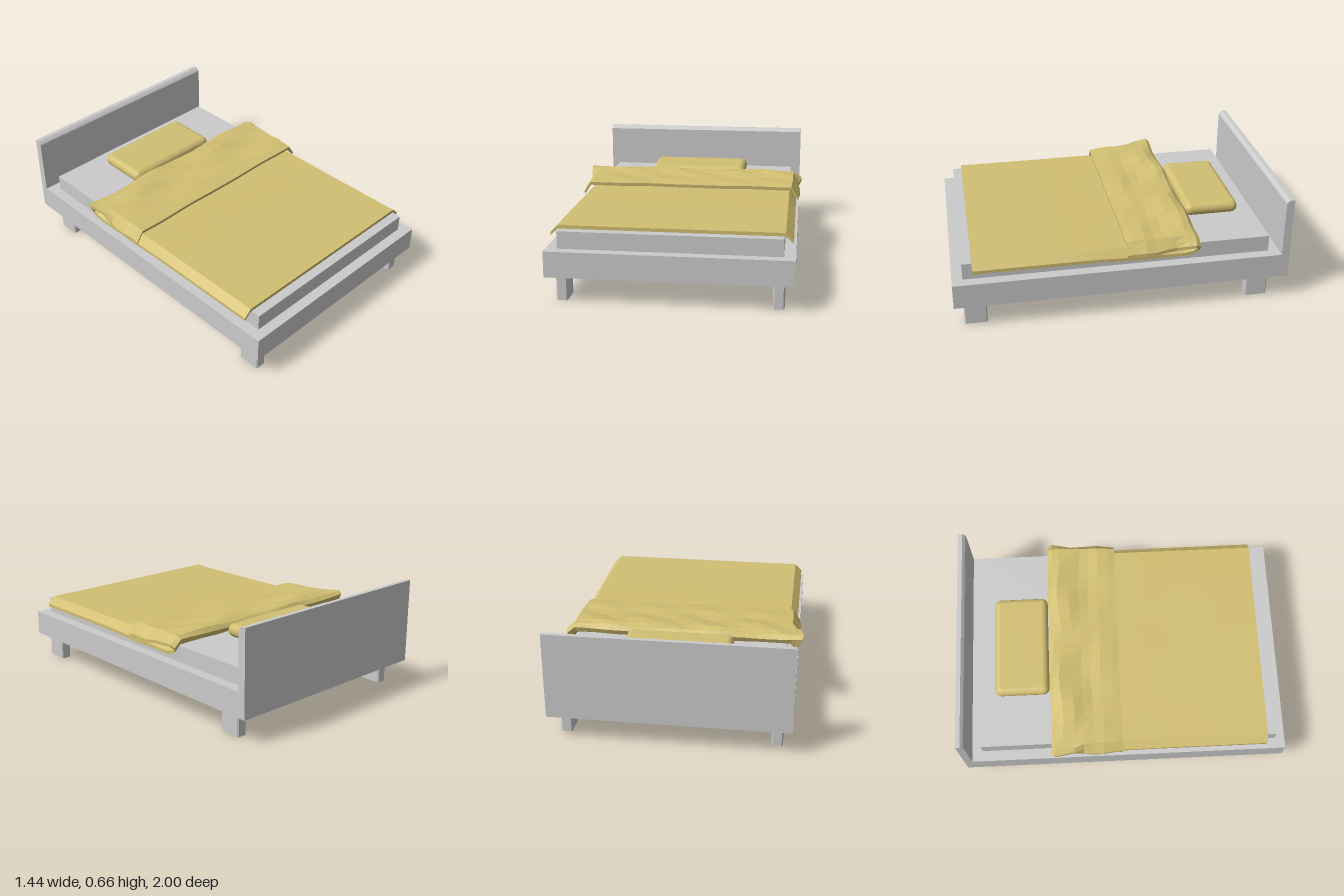
import * as THREE from 'three';
import { RoundedBoxGeometry } from 'three/addons/geometries/RoundedBoxGeometry.js';

const CX = -0.005;
const grey = new THREE.MeshStandardMaterial({ color: 0xcccccc, flatShading: true });
const cloth = new THREE.MeshStandardMaterial({ color: 0xd2bf72, flatShading: true });
const cushion = new THREE.MeshStandardMaterial({ color: 0xd2bf72 });

function add(group, name, geometry, material, x = 0, y = 0, z = 0) {
  const mesh = new THREE.Mesh(geometry, material);
  mesh.name = name;
  mesh.position.set(x, y, z);
  group.add(mesh);
  return mesh;
}

// Extrude an outline upward or sideways, centred on its depth
function extrude(points, depth) {
  const shape = new THREE.Shape(points.map(([x, y]) => new THREE.Vector2(x, y)));
  return new THREE.ExtrudeGeometry(shape, { depth, bevelEnabled: false }).translate(0, 0, -depth / 2);
}

// Folded blanket: a thick strip along z, curled back over itself, repeated across x
function blanketGeometry() {
  // z, y, half width, side drop, wrinkle height
  const path = [
    [0.88, 0.41, 0.68, 0.042, 0], [0.6, 0.41, 0.68, 0.042, 0], [0.3, 0.41, 0.68, 0.042, 0],
    [0.15, 0.411, 0.68, 0.045, 0.001], [0.0, 0.411, 0.68, 0.05, 0], [-0.12, 0.411, 0.68, 0.052, 0],
    [-0.25, 0.411, 0.68, 0.052, 0], [-0.35, 0.411, 0.685, 0.05, 0], [-0.4, 0.417, 0.69, 0.045, 0.001],
    [-0.43, 0.43, 0.695, 0.04, 0.003], [-0.438, 0.447, 0.7, 0.04, 0.005], [-0.42, 0.463, 0.705, 0.04, 0.008],
    [-0.38, 0.471, 0.705, 0.045, 0.011], [-0.31, 0.466, 0.7, 0.055, 0.011], [-0.25, 0.457, 0.7, 0.06, 0.008],
    [-0.19, 0.453, 0.7, 0.065, 0.006], [-0.13, 0.457, 0.7, 0.065, 0.006], [-0.06, 0.452, 0.695, 0.065, 0.004],
    [-0.015, 0.446, 0.695, 0.065, 0.002],
  ];
  const n = path.length, half = 0.01;
  const across = [-1, -0.97, -0.935];
  for (let i = -8; i <= 8; i++) across.push(i * 0.108);
  across.push(0.935, 0.97, 1);

  // Thickness direction at each path point
  const normals = path.map((p, i) => {
    const a = path[Math.max(i - 1, 0)], b = path[Math.min(i + 1, n - 1)];
    const dz = b[0] - a[0], dy = b[1] - a[1], l = Math.hypot(dz, dy);
    return [dy / l, -dz / l];
  });

  const positions = [], index = [];
  for (const f of across) {
    const k = Math.max(0, (Math.abs(f) - 0.935) / 0.065);
    for (let r = 0; r < 2 * n; r++) {
      const i = r < n ? r : 2 * n - 1 - r, side = r < n ? half : -half;
      const [z, y, w, drop, wrinkle] = path[i];
      const flip = f < 0 && i >= 10 && i <= 13 ? k : 0; // upturned corner
      const wave = Math.sin(f * 6.5 + i * 0.9) * 0.6 + Math.sin(f * 13 - i * 1.7) * 0.4;
      positions.push(
        CX + f * w + Math.sign(f) * k * wrinkle * Math.sin(i * 1.3) * 0.8 - flip * 0.015,
        y + side * normals[i][1] - k * drop + wrinkle * wave + flip * 0.045,
        z + side * normals[i][0] + wrinkle * Math.sin(f * 8 + 1) * 0.9
      );
    }
  }
  const ring = 2 * n, last = (across.length - 1) * ring;
  for (let j = 0; j < across.length - 1; j++) {
    for (let r = 0; r < ring; r++) {
      const a = j * ring + r, b = j * ring + (r + 1) % ring;
      index.push(a, a + ring, b, b, a + ring, b + ring);
    }
  }
  for (let i = 0; i < n - 1; i++) {
    const p = i, p2 = i + 1, q = ring - 1 - i, q2 = ring - 2 - i;
    index.push(p, p2, q, p2, q2, q);
    index.push(last + p, last + q, last + p2, last + p2, last + q, last + q2);
  }
  const g = new THREE.BufferGeometry();
  g.setAttribute('position', new THREE.Float32BufferAttribute(positions, 3));
  g.setIndex(index);
  g.computeVertexNormals();
  return g;
}

export function createModel() {
  const bed = new THREE.Group();
  bed.name = 'bed';

  // Frame and mattress
  add(bed, 'frame', new THREE.BoxGeometry(1.39, 0.15, 2), grey, CX, 0.225, 0);
  add(bed, 'mattress', new THREE.BoxGeometry(1.26, 0.1, 1.825), grey, CX, 0.35, 0.025);

  // Headboard with a chamfered top edge, profile in z and y
  const board = extrude([[-1, 0.3], [-0.952, 0.3], [-0.952, 0.643], [-0.957, 0.65], [-0.973, 0.664], [-1, 0.664]], 1.39);
  add(bed, 'headboard', board.rotateY(-Math.PI / 2), grey, CX);

  // Four legs with slightly cut corners
  const w = 0.0325, d = 0.0675, c = 0.007;
  const outline = [[-w + c, -d], [w - c, -d], [w, -d + c], [w, d - c], [w - c, d], [-w + c, d], [-w, d - c], [-w, -d + c]];
  for (const x of [-0.6075, 0.6075]) {
    for (const z of [-0.827, 0.877]) {
      add(bed, 'leg', extrude(outline, 0.15).rotateX(-Math.PI / 2), grey, CX + x, 0.075, z);
    }
  }

  // Bedding
  add(bed, 'pillow', new RoundedBoxGeometry(0.64, 0.08, 0.335, 4, 0.039), cushion, CX, 0.439, -0.621);
  add(bed, 'blanket', blanketGeometry(), cloth);
  return bed;
}
